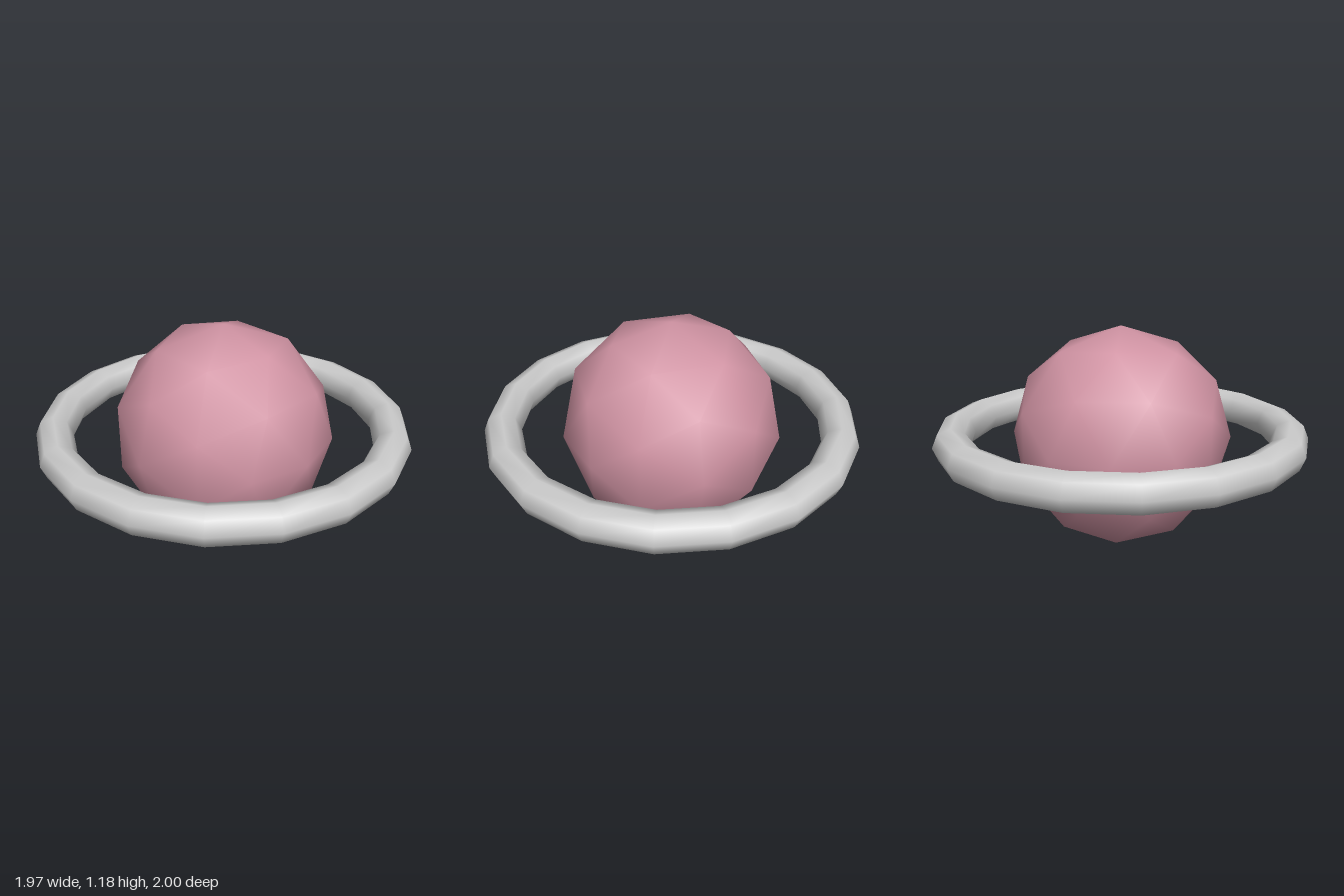
import * as THREE from 'three';

export function createModel() {
  const group = new THREE.Group();
  const centreY = 0.59;

  const add = (name, geometry, color) => {
    const mesh = new THREE.Mesh(geometry, new THREE.MeshStandardMaterial({ color }));
    mesh.name = name;
    mesh.position.y = centreY;
    group.add(mesh);
  };

  // Planet: once-subdivided icosahedron with smooth normals
  add('planet', new THREE.IcosahedronGeometry(centreY, 1), 0xd093a3);

  // Flat-lying ring: 18 segments with an eight-sided tube, one corner on the z axis
  const ring = new THREE.TorusGeometry(0.902, 0.098, 8, 18);
  ring.rotateZ(Math.PI / 2).rotateX(Math.PI / 2);
  add('ring', ring, 0xcccccc);

  return group;
}
